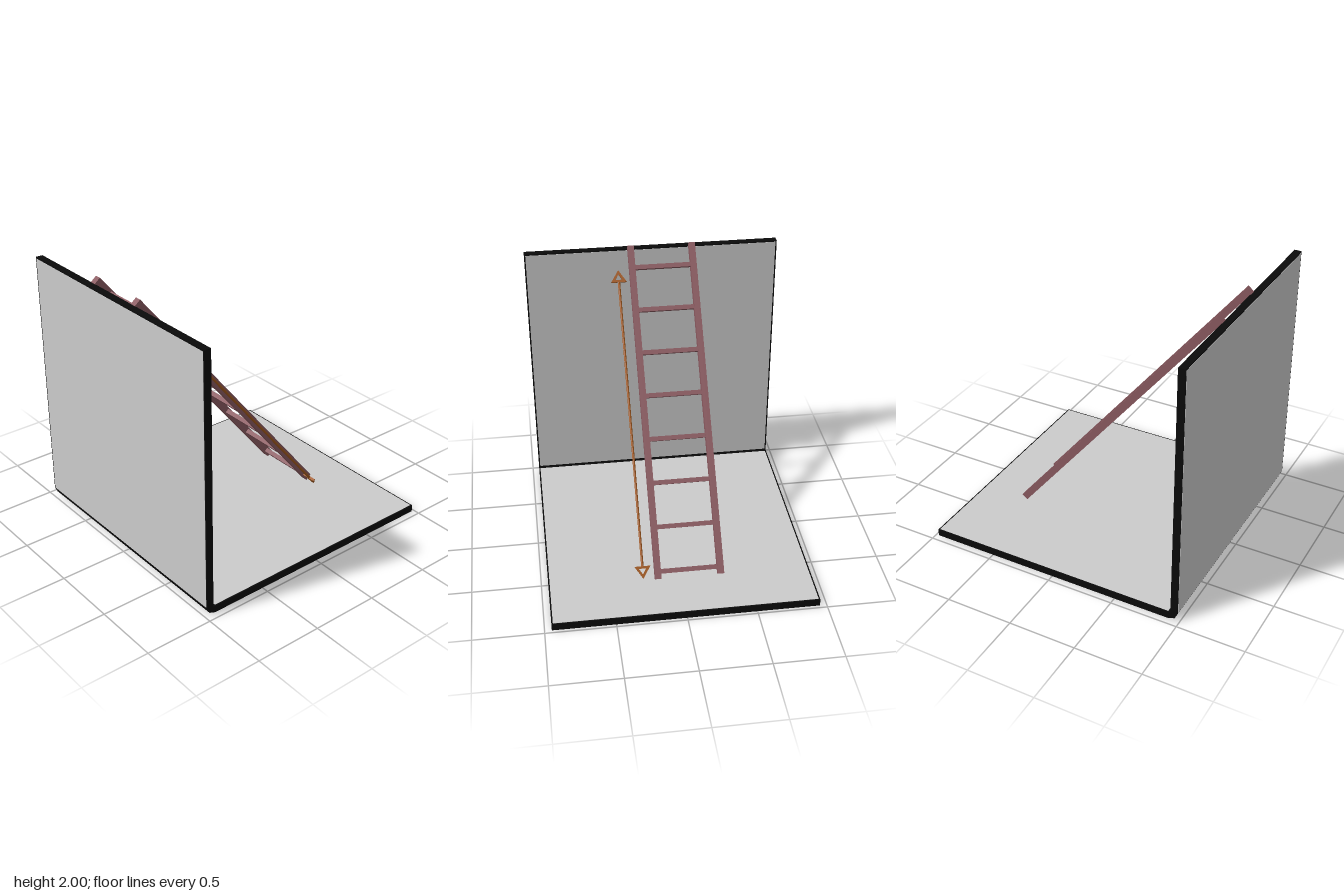
import * as THREE from 'three';

const paint = (color) => new THREE.MeshStandardMaterial({ color, flatShading: true });

export function createModel() {
  const model = new THREE.Group();
  model.name = 'leaningLadder';
  const black = paint(0x0a0a0a);
  const grey = paint(0xcccccc);
  const wood = paint(0x8a5a60);
  const orange = paint(0xa0581e);

  const add = (parent, name, geometry, material, x = 0, y = 0, z = 0) => {
    const mesh = new THREE.Mesh(geometry, material);
    mesh.name = name;
    mesh.position.set(x, y, z);
    parent.add(mesh);
    return mesh;
  };
  const box = (parent, name, size, at, material) =>
    add(parent, name, new THREE.BoxGeometry(...size), material, ...at);

  // Black L-shaped slab: floor and wall with a bevelled outer corner, profile in (z, y)
  const profile = new THREE.Shape([
    [-0.978, 0], [0.915, 0], [0.963, 0.018], [0.982, 0.06],
    [0.982, 1.96], [0.93, 1.96], [0.93, 0.053], [-0.978, 0.053],
  ].map(([z, y]) => new THREE.Vector2(z, y)));
  const slab = new THREE.ExtrudeGeometry(profile, { depth: 1.9, bevelEnabled: false });
  slab.translate(0, 0, -0.95).rotateY(-Math.PI / 2);
  add(model, 'floorAndWallEdge', slab, black);

  // Grey faces lying just proud of the slab
  const t = 0.004;
  box(model, 'wallOuterFace', [1.88, 1.885, t], [0, 1.0075, 0.982], grey);
  box(model, 'wallInnerFace', [1.88, 1.885, t], [0, 1.0075, 0.93], grey);
  box(model, 'floorTopFace', [1.88, t, 1.878], [0, 0.053, -0.029], grey);
  box(model, 'floorBottomFace', [1.88, t, 1.878], [0, 0.001, -0.029], grey);

  // Ladder, built upright and tilted against the wall
  const ladder = new THREE.Group();
  ladder.name = 'ladder';
  ladder.position.set(0, 1.027, 0.149);
  ladder.rotation.x = 0.677;
  model.add(ladder);
  for (const x of [-0.296, 0.162]) {
    box(ladder, 'ladderRail', [0.046, 2.455, 0.054], [x, 0, 0], wood);
  }
  for (let i = 0; i < 8; i++) {
    box(ladder, 'ladderRung', [0.43, 0.033, 0.033], [-0.067, -1.175 + i * 0.32, 0], wood);
  }

  // Double-headed arrow alongside the ladder
  const arrow = new THREE.Group();
  arrow.name = 'lengthArrow';
  arrow.position.set(0.267, -0.081, 0.012);
  ladder.add(arrow);
  const half = 1.136;
  add(arrow, 'arrowShaft', new THREE.CylinderGeometry(0.009, 0.009, 2 * half - 0.15, 8), orange);

  // Hollow triangular heads
  const triangle = (w, y0, y1) => [
    new THREE.Vector2(-w, y0), new THREE.Vector2(w, y0), new THREE.Vector2(0, y1),
  ];
  const head = new THREE.Shape(triangle(0.058, -0.09, 0));
  head.holes.push(new THREE.Path(triangle(0.027, -0.073, -0.03)));
  const headGeometry = new THREE.ExtrudeGeometry(head, { depth: 0.018, bevelEnabled: false });
  headGeometry.translate(0, 0, -0.009);
  add(arrow, 'arrowHeadTop', headGeometry, orange, 0, half, 0);
  add(arrow, 'arrowHeadBottom', headGeometry, orange, 0, -half, 0).rotation.z = Math.PI;

  return model;
}
